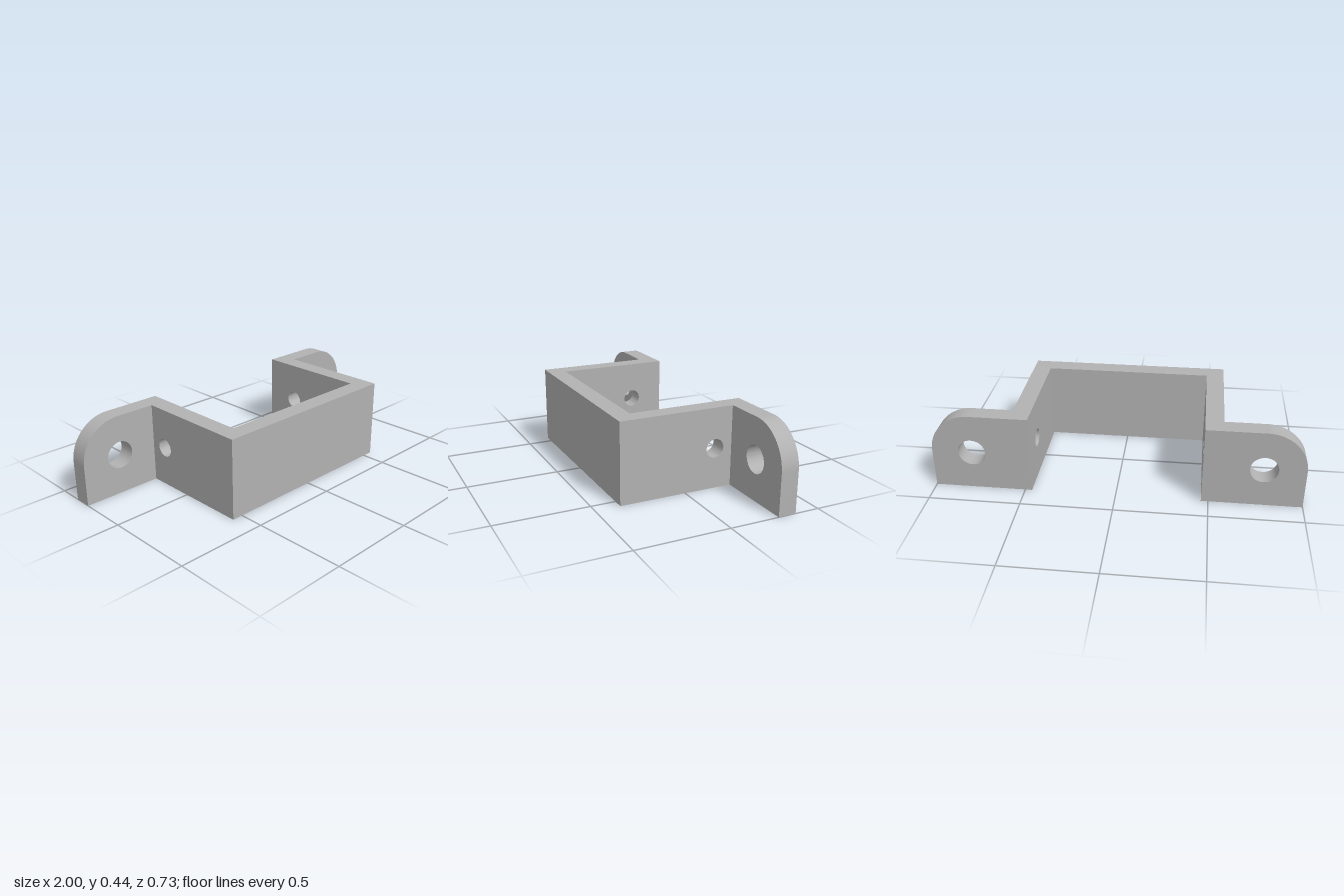
import * as THREE from 'three';
import { toCreasedNormals } from 'three/addons/utils/BufferGeometryUtils.js';

const H = 0.44;        // height of the strip
const T = 0.098;       // strip thickness
const D = 0.366;       // half depth
const OUT = 0.56;      // outer half width of the channel
const EAR_X = 0.78;    // centre of the ear hole and its rounded corner

// Plate with a round hole, centred through its thickness
function drilledPlate(shape, holeX, holeY, radius) {
  const hole = new THREE.Path();
  hole.absarc(holeX, holeY, radius, 0, Math.PI * 2, true);
  shape.holes.push(hole);
  const geo = new THREE.ExtrudeGeometry(shape, { depth: T, bevelEnabled: false, curveSegments: 32 });
  geo.translate(0, 0, -T / 2);
  return toCreasedNormals(geo, 0.6);
}

export function createModel() {
  const group = new THREE.Group();
  group.name = 'mountingBracket';
  const steel = new THREE.MeshStandardMaterial({ color: 0xb2b2b2 });
  steel.name = 'grey metal';

  const add = (name, geo, x, y, z) => {
    const mesh = new THREE.Mesh(geo, steel);
    mesh.name = name;
    mesh.position.set(x, y, z);
    group.add(mesh);
  };

  // Front web between the two arms
  add('frontPlate', new THREE.BoxGeometry(2 * (OUT - T), H, T), 0, H / 2, D - T / 2);

  for (const [side, s] of [['left', 1], ['right', -1]]) {
    // Arm running front to back, with a small cross hole
    const armShape = new THREE.Shape();
    armShape.moveTo(-D, 0).lineTo(D, 0).lineTo(D, H).lineTo(-D, H).closePath();
    const arm = drilledPlate(armShape, -0.17, H / 2, 0.05);
    arm.rotateY(-Math.PI / 2);
    add(side + 'Arm', arm, s * (OUT - T / 2), 0, 0);

    // Mounting ear with a rounded upper outer corner and a screw hole
    const earShape = new THREE.Shape();
    earShape.moveTo(OUT, 0).lineTo(1, 0).lineTo(1, H / 2);
    earShape.absarc(EAR_X, H / 2, H / 2, 0, Math.PI / 2, false);
    earShape.lineTo(OUT, H).closePath();
    const ear = drilledPlate(earShape, EAR_X, H / 2, 0.075);
    if (s < 0) ear.rotateY(Math.PI);
    add(side + 'Ear', ear, 0, 0, -D + T / 2);
  }
  return group;
}
